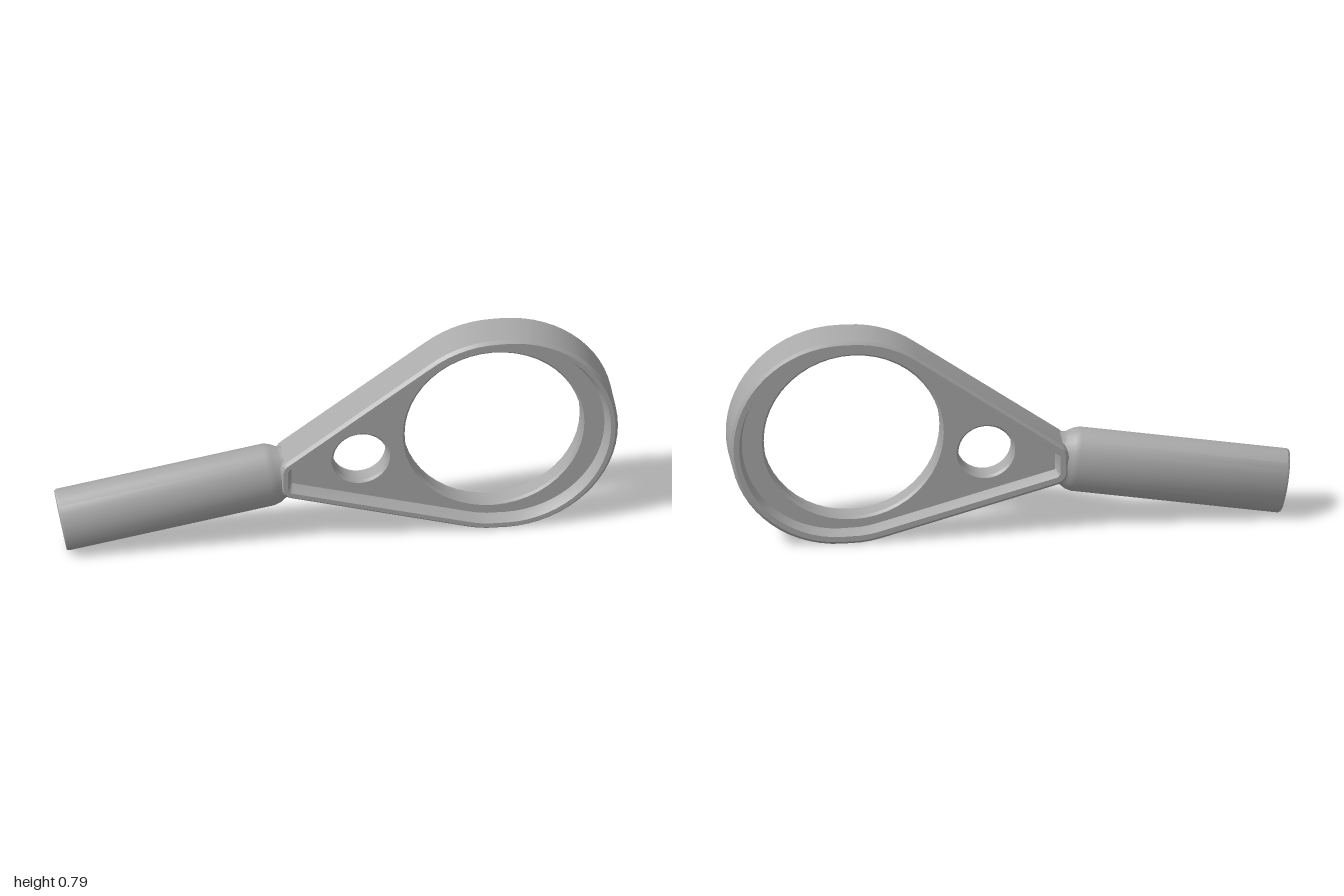
import * as THREE from 'three';
import { toCreasedNormals } from 'three/addons/utils/BufferGeometryUtils.js';

// Teardrop outline as arcs: centre x, centre y, radius, start and end angle, steps
const ARCS = [
  [0.6, 0.4, 0.395, -90, 90, 32],
  [0.565, 0.4, 0.395, 90, 126.7, 7],
  [-0.155, 0.302, 0.05, 126.7, 180, 4],
  [-0.155, 0.242, 0.05, 180, 254.4, 5],
  [0.565, 0.4, 0.395, 254.4, 270, 3],
];

// Outline points moved inward by a distance
function outline(inset) {
  const points = [];
  for (const [cx, cy, r, a0, a1, n] of ARCS) {
    const last = cx === 0.565 && a1 === 270 ? n - 1 : n;
    for (let i = 0; i <= last; i++) {
      const a = THREE.MathUtils.degToRad(a0 + ((a1 - a0) * i) / n);
      points.push(new THREE.Vector2(cx + (r - inset) * Math.cos(a), cy + (r - inset) * Math.sin(a)));
    }
  }
  return points;
}

// Sweep a closed (inset, z) section around the outline
function sweepRim(section) {
  const loops = section.map(([inset, z]) => outline(inset).map((p) => [p.x, p.y, z]));
  const n = loops[0].length;
  const m = loops.length;
  const index = [];
  for (let j = 0; j < m; j++) {
    const k = (j + 1) % m;
    for (let i = 0; i < n; i++) {
      const h = (i + 1) % n;
      index.push(j * n + i, j * n + h, k * n + h, j * n + i, k * n + h, k * n + i);
    }
  }
  const geometry = new THREE.BufferGeometry();
  geometry.setAttribute('position', new THREE.Float32BufferAttribute(loops.flat(2), 3));
  geometry.setIndex(index);
  return toCreasedNormals(geometry, 0.5);
}

export function createModel() {
  const model = new THREE.Group();
  const grey = new THREE.MeshStandardMaterial({ color: 0xaaaaaa });
  grey.name = 'grey';
  const add = (name, geometry) => {
    const mesh = new THREE.Mesh(geometry, grey);
    mesh.name = name;
    model.add(mesh);
    return mesh;
  };

  // Raised rim with softened outer edges and sloping inner sides
  add('rim', sweepRim([
    [0, -0.072], [0, 0.068], [0.01, 0.08], [0.026, 0.08], [0.045, 0.035],
    [0.045, -0.035], [0.03, -0.08], [0.01, -0.08],
  ]));

  // Recessed web with the large and small round holes
  const web = new THREE.Shape(outline(0.025));
  for (const [x, y, r] of [[0.557, 0.405, 0.315], [0.085, 0.32, 0.096]]) {
    web.holes.push(new THREE.Path().absarc(x, y, r, 0, Math.PI * 2, true));
  }
  const webGeometry = new THREE.ExtrudeGeometry(web, {
    depth: 0.06, curveSegments: 24, bevelThickness: 0.008, bevelSize: 0.008, bevelOffset: -0.008, bevelSegments: 1,
  });
  webGeometry.translate(0, 0, -0.03);
  add('web', toCreasedNormals(webGeometry, 0.5));

  // Oval handle with a tapered neck running into the rim
  const profile = [[0, 0], [0.115, 0], [0.12, 0.008], [0.12, 0.75], [0.114, 0.772], [0.097, 0.8], [0.096, 0.815], [0, 0.815]];
  const handleGeometry = new THREE.LatheGeometry(profile.map(([r, y]) => new THREE.Vector2(r, y)), 28);
  handleGeometry.scale(1, 1, 0.73);
  handleGeometry.rotateZ(-Math.PI / 2 + 0.172);
  handleGeometry.translate(-0.977, 0.127, 0);
  add('handle', toCreasedNormals(handleGeometry, 0.5));

  // Slight turn of the whole piece
  model.rotation.y = 0.024;
  model.position.z = -0.012;
  return model;
}
